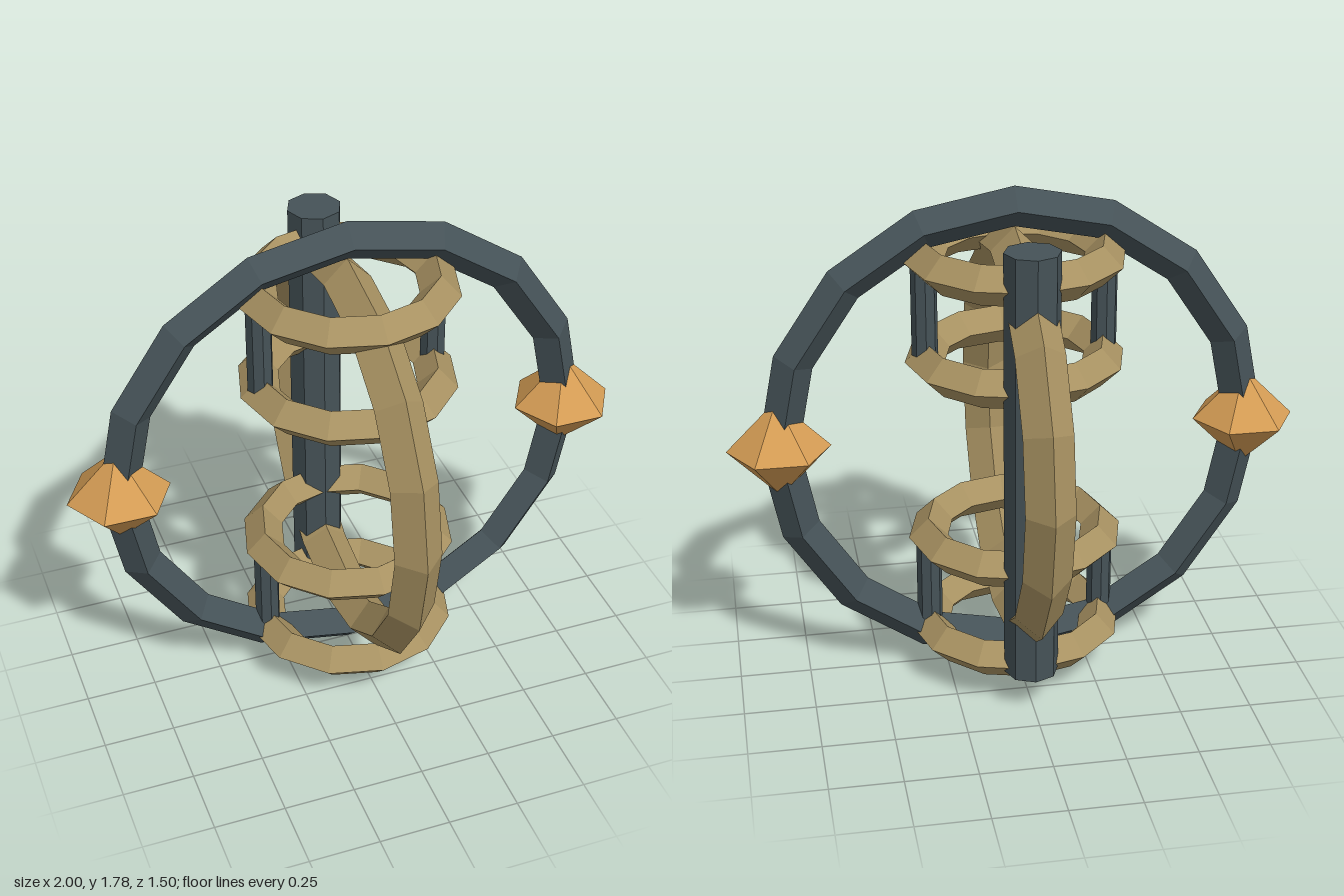
import * as THREE from 'three';

const CENTER_Y = 0.893;

export function createModel() {
  const model = new THREE.Group();
  model.name = 'ringedFrame';

  const material = (color) => new THREE.MeshStandardMaterial({ color, flatShading: true });
  const iron = material(0x455257);
  const brass = material(0xa89262);
  const copper = material(0xd49c54);

  const add = (name, geometry, mat, x, y, z) => {
    const mesh = new THREE.Mesh(geometry, mat);
    mesh.name = name;
    mesh.position.set(x, y, z);
    model.add(mesh);
    return mesh;
  };

  // Two large upright rings with a diamond-shaped section, crossing at right angles
  add('outerRing', new THREE.TorusGeometry(0.82, 0.07, 4, 16), iron, 0, CENTER_Y, 0);
  add('innerRing', new THREE.TorusGeometry(0.667, 0.083, 4, 16), brass, 0, CENTER_Y, 0)
    .rotation.y = Math.PI / 2;

  // Stack of four level hoops
  const hoop = new THREE.TorusGeometry(0.31, 0.07, 4, 12).rotateX(Math.PI / 2);
  const hoopHeights = [0.155, 0.51, 1.18, 1.54];
  hoopHeights.forEach((y, i) => add(`hoop${i + 1}`, hoop, brass, 0, y, 0));

  // Back post
  add('backPost', new THREE.CylinderGeometry(0.095, 0.095, 1.535, 8), iron, 0, 0.898, -0.33);

  // Side struts joining each pair of hoops, and a knob on each side of the outer ring
  const strut = new THREE.CylinderGeometry(0.045, 0.045, 0.36, 8);
  const knob = new THREE.SphereGeometry(0.18, 6, 2);
  for (const [side, s] of [['left', 1], ['right', -1]]) {
    add(`${side}LowerStrut`, strut, iron, s * 0.31, 0.333, 0);
    add(`${side}UpperStrut`, strut, iron, s * 0.31, 1.36, 0);
    add(`${side}Knob`, knob, copper, s * 0.82, CENTER_Y, 0);
  }

  return model;
}
